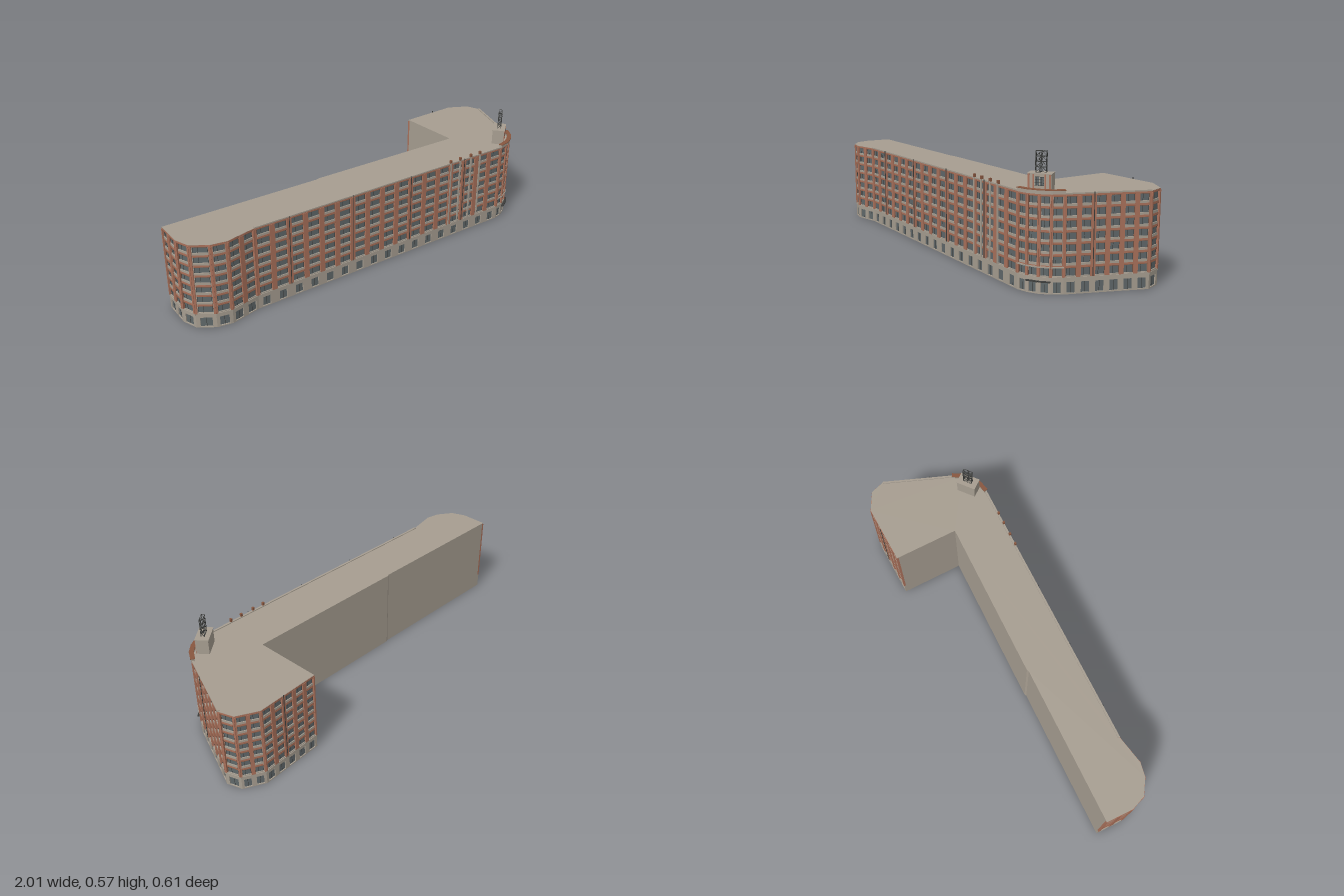
import * as THREE from 'three';
import { mergeGeometries } from 'three/addons/utils/BufferGeometryUtils.js';

const mat = (name, color) => {
  const m = new THREE.MeshStandardMaterial({ color });
  m.name = name;
  return m;
};

// Street facade corners [x, z], left end round to the right wing, with bays to the next corner
const FACADE = [
  [-1, 0.035, 2], [-1, 0.166, 1], [-0.973, 0.235, 1], [-0.9, 0.283, 1], [-0.83, 0.296, 2],
  [-0.69, 0.267, 17], [0.727, 0.267, 1], [0.775, 0.256, 1], [0.82, 0.23, 1], [0.855, 0.195, 1],
  [0.88, 0.15, 6], [1, -0.187, 1], [0.973, -0.257, 2], [0.877, -0.305, 5], [0.575, -0.29, 0],
];
const COURT = [[0.59, 0.03], [-0.22, 0.03], [-0.23, 0.035]];
const CORNER = [6, 7, 8, 9];
const DEPTH = 0.008, BASE = 0.07, TOP = 0.405, FLOORS = 7;
const STOREY = (TOP - BASE) / FLOORS;

export function createModel() {
  const concrete = mat('concrete', 0xa69d90);
  const brick = mat('brick', 0xa8705a);
  const darkBrick = mat('dark brick', 0x87563f);
  const glass = mat('glass', 0x5f6769);
  const frame = mat('dark metal', 0x3b3c3a);
  const building = new THREE.Group();
  building.name = 'cornerBuilding';

  // Boxes are gathered by part name and merged into one mesh each
  const parts = new Map();
  const add = (name, material, geometry) => {
    if (!parts.has(name)) parts.set(name, { material, list: [] });
    parts.get(name).list.push(geometry);
  };

  // Wall frame: u along the wall, y up, d outward
  const wall = (i) => {
    const [ax, az] = FACADE[i], [bx, bz] = FACADE[i + 1];
    const length = Math.hypot(bx - ax, bz - az);
    const t = new THREE.Vector3((bx - ax) / length, 0, (bz - az) / length);
    const n = new THREE.Vector3(-t.z, 0, t.x);
    const m = new THREE.Matrix4().makeBasis(t, new THREE.Vector3(0, 1, 0), n).setPosition(ax, 0, az);
    const box = (name, material, u0, u1, y0, y1, d0, d1) => {
      const g = new THREE.BoxGeometry(u1 - u0, y1 - y0, d1 - d0);
      g.translate((u0 + u1) / 2, (y0 + y1) / 2, (d0 + d1) / 2);
      add(name, material, g.applyMatrix4(m));
    };
    return { length, n, box };
  };
  const walls = FACADE.slice(0, -1).map((_, i) => wall(i));

  // Core, set back behind the facade with mitred corners
  const inset = FACADE.map(([x, z], i) => {
    const a = (walls[i - 1] || walls[i]).n, b = (walls[i] || walls[i - 1]).n;
    const k = DEPTH / (1 + a.dot(b));
    return [x - (a.x + b.x) * k, z - (a.z + b.z) * k];
  });
  const slab = (points, y0, y1) => {
    const shape = new THREE.Shape(points.map(([x, z]) => new THREE.Vector2(x, -z)));
    return new THREE.ExtrudeGeometry(shape, { depth: y1 - y0, bevelEnabled: false })
      .rotateX(-Math.PI / 2).translate(0, y0, 0);
  };
  building.add(Object.assign(new THREE.Mesh(slab([...inset, ...COURT], 0.001, 0.402), concrete), { name: 'core' }));
  building.add(Object.assign(new THREE.Mesh(slab([...FACADE, ...COURT], 0.4005, TOP), concrete), { name: 'roof' }));
  building.add(Object.assign(new THREE.Mesh(slab([...FACADE, ...COURT], 0, 0.005), concrete), { name: 'plinth' }));

  walls.forEach(({ length, box }, i) => {
    const bays = FACADE[i][2], pitch = length / bays;
    const pier = Math.min(0.012, pitch * 0.16);
    box('baseBand', concrete, 0, length, 0.062, BASE, -DEPTH, 0.002);
    box('baseLintel', concrete, 0, length, 0.05, 0.062, -DEPTH, 0);
    box('topBand', brick, 0, length, 0.396, 0.4035, -DEPTH, 0.001);
    if (i > 4 && i < 11) box('coping', concrete, 0, length, TOP - 0.002, 0.409, -0.008, 0.002);

    // Piers between bays, with downpipes on some
    for (let b = 0; b <= bays; b++) {
      const c = b * pitch, end = b === 0 || b === bays;
      const u0 = Math.max(0, c - pier / (end ? 1.4 : 1)), u1 = Math.min(length, c + pier / (end ? 1.4 : 1));
      box('brickPier', brick, u0, u1, BASE, 0.398, -DEPTH, 0.003);
      if (!end && b % 4 === 2 && bays > 4) box('downpipe', frame, c - 0.0012, c + 0.0012, BASE, 0.411, 0.003, 0.0055);
    }

    for (let b = 0; b < bays; b++) {
      const u0 = b * pitch, u1 = u0 + pitch;
      const w0 = u0 + pier, w1 = u1 - pier, w = w1 - w0;
      // Ground floor: solid wall either side of a shop window
      const g = pitch * (i === 5 ? 0.27 : 0.2);
      box('baseWall', concrete, u0, u0 + g, 0, 0.05, -DEPTH, 0);
      box('baseWall', concrete, u1 - g, u1, 0, 0.05, -DEPTH, 0);
      box('shopWindow', glass, u0 + g, u1 - g, 0.005, 0.05, -DEPTH - 0.001, -0.005);
      const mid = (u0 + u1) / 2;
      box('shopMullion', frame, mid - 0.0008, mid + 0.0008, 0.005, 0.05, -0.006, -0.004);
      // Upper floors: sill panel, window, dark lintel
      for (let f = 0; f < FLOORS; f++) {
        const y = BASE + f * STOREY;
        const sill = y + (f ? 0.009 : 0.005), head = y + 0.0385;
        box('sillPanel', concrete, w0, w1, y - 0.001, sill, -DEPTH, -0.001);
        box('window', glass, w0, w1, sill, head, -DEPTH - 0.001, -0.005);
        box('brickLintel', brick, w0, w1, head, y + STOREY - 0.001, -DEPTH, 0);
        box('lintelEdge', darkBrick, w0, w1, head - 0.0015, head, -0.006, 0.001);
        for (const k of [0.35, 0.97, 0.03]) {
          const c = w0 + w * k;
          box('windowMullion', frame, c - 0.0008, c + 0.0008, sill, head, -0.006, -0.004);
        }
      }
    }

    // Rounded corner: raised parapet and entrance canopy
    if (CORNER.includes(i)) {
      box('cornerParapet', concrete, -0.002, length + 0.002, TOP - 0.002, 0.418, -0.012, 0.004);
      box('parapetCap', darkBrick, -0.003, length + 0.003, 0.418, 0.421, -0.014, 0.007);
      box('cornerBelt', concrete, 0, length, 0.108, 0.113, -0.004, 0.005);
      if (i > 6 && i < 9) box('canopy', frame, 0, length, 0.05, 0.054, 0, 0.012);
    }
  });

  // Chimney pilasters along the front
  for (const x of [0.39, 0.45, 0.52, 0.58]) {
    walls[5].box('chimneyPilaster', concrete, x + 0.686, x + 0.694, BASE, 0.412, 0, 0.005);
    walls[5].box('chimneyPot', darkBrick, x + 0.685, x + 0.695, 0.409, 0.424, -0.005, 0.005);
  }

  for (const [name, { material, list }] of parts) {
    const mesh = new THREE.Mesh(mergeGeometries(list), material);
    mesh.name = name;
    building.add(mesh);
  }

  // Roof house above the corner
  const house = new THREE.Group();
  house.name = 'roofHouse';
  house.position.set(0.778, 0, 0.192);
  house.rotation.y = Math.atan2(0.65, 0.76);
  building.add(house);
  const block = (name, material, w, h, d, x, y, z) => {
    const mesh = new THREE.Mesh(new THREE.BoxGeometry(w, h, d), material);
    mesh.name = name;
    mesh.position.set(x, y, z);
    house.add(mesh);
    return mesh;
  };
  block('houseWalls', concrete, 0.096, 0.076, 0.058, 0, 0.439, 0);
  block('houseCap', concrete, 0.1, 0.003, 0.062, 0, 0.4775, 0);
  for (const s of [-1, 1]) {
    block('housePier', brick, 0.008, 0.07, 0.003, s * 0.043, 0.441, 0.0295);
    block('housePier', brick, 0.006, 0.07, 0.003, s * 0.024, 0.441, 0.0295);
    block('houseWindow', glass, 0.016, 0.034, 0.003, s * 0.01, 0.448, 0.0285);
    block('houseMullion', frame, 0.0015, 0.034, 0.002, s * 0.01, 0.448, 0.0302);
  }
  for (const y of [0.431, 0.442, 0.454, 0.465]) block('houseGlazingBar', frame, 0.036, 0.0015, 0.002, 0, y, 0.0302);

  // Open steel lattice on the roof house
  const beam = (a, b, r = 0.0009) => {
    const p = new THREE.Vector3(...a), q = new THREE.Vector3(...b);
    const m = block('latticeBar', frame, r * 2, p.distanceTo(q), r * 2, 0, 0, 0);
    m.position.copy(p).add(q).multiplyScalar(0.5);
    m.quaternion.setFromUnitVectors(new THREE.Vector3(0, 1, 0), q.sub(p).normalize());
  };
  const X = 0.022, Z = 0.0075, Y0 = 0.479, STEP = 0.0213;
  for (const z of [-Z, Z]) {
    for (const x of [-X, 0, X]) beam([x, Y0, z], [x, 0.565, z]);
    for (let k = 0; k <= 4; k++) beam([-X, Y0 + k * STEP, z], [X, Y0 + k * STEP, z]);
  }
  for (let k = 0; k < 4; k++) {
    const y = Y0 + k * STEP;
    for (const x of [-X, X]) {
      beam([x, y + STEP, -Z], [x, y + STEP, Z]);
      beam([x, y, -Z], [x, y + STEP, Z]);
    }
    beam([-X, y, -Z], [0, y + STEP, -Z]);
    beam([X, y, -Z], [0, y + STEP, -Z]);
    // Blank sign rings on the front of the lattice
    const ring = new THREE.Mesh(new THREE.TorusGeometry(0.0065, 0.0014, 4, 10), frame);
    ring.name = 'signRing';
    ring.position.set(0, y + STEP / 2, Z + 0.001);
    house.add(ring);
  }
  return building;
}
